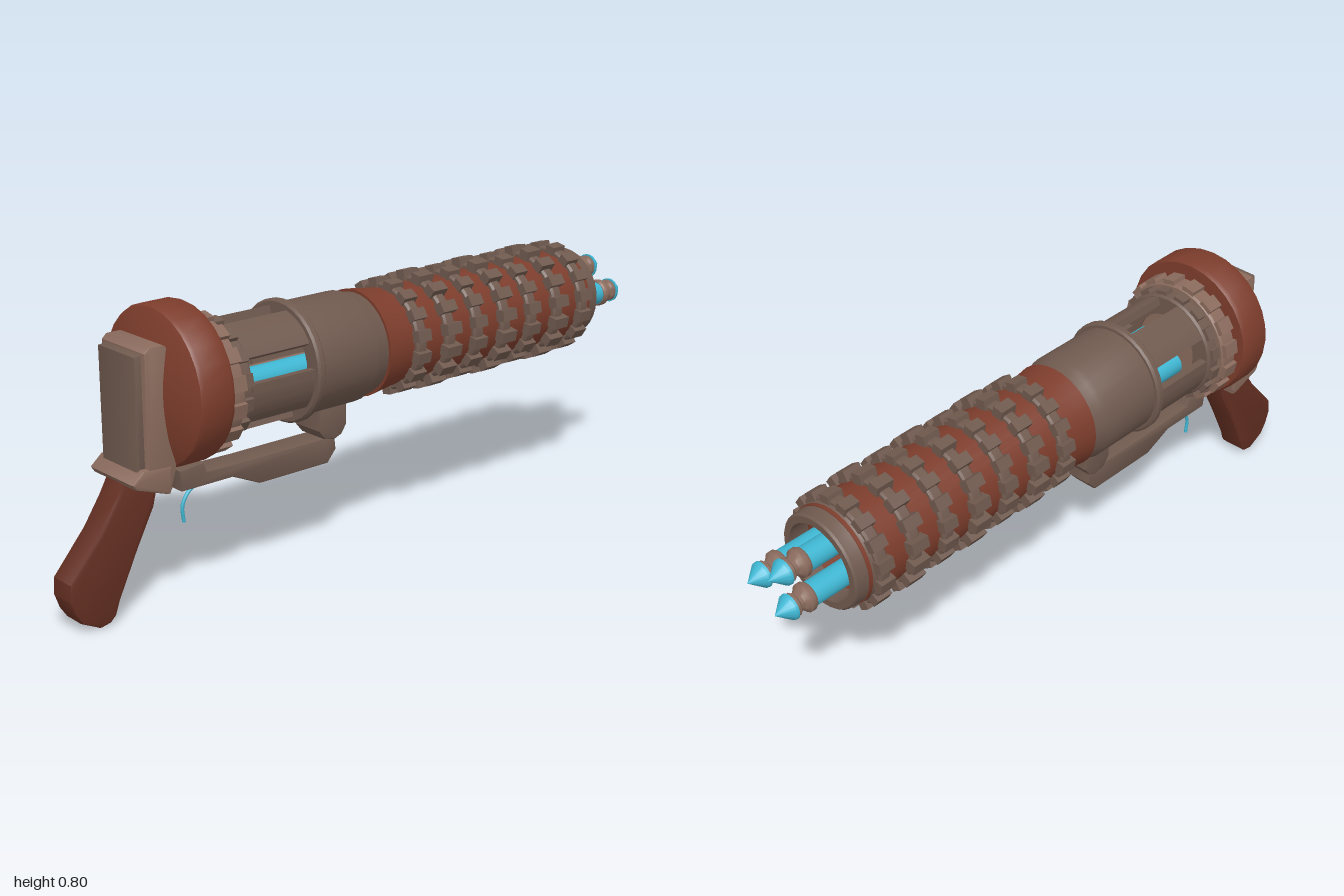
import * as THREE from 'three';
import { toCreasedNormals, mergeGeometries } from 'three/addons/utils/BufferGeometryUtils.js';

const paint = (color) => new THREE.MeshStandardMaterial({ color, side: THREE.DoubleSide });
const RED = paint(0x7d3d2c), GRIP = paint(0x642f22), LIGHT = paint(0x8a6b5d);
const MID = paint(0x705a4f), BLUE = paint(0x3fb6d2);
const CY = 0.577; // height of the barrel axis

export function createModel() {
  const model = new THREE.Group();

  const add = (name, geometry, material, y = 0, z = 0, parent = model) => {
    const mesh = new THREE.Mesh(geometry, material);
    mesh.name = name;
    mesh.position.set(0, y, z);
    parent.add(mesh);
    return mesh;
  };

  // Turned part along x from [x, radius] pairs
  const turned = (profile, segments = 32) => {
    const g = new THREE.LatheGeometry(profile.map(([x, r]) => new THREE.Vector2(r, x)), segments);
    return toCreasedNormals(g.rotateZ(-Math.PI / 2), 0.6);
  };
  const ring = (x0, x1, r, inner, b = 0.006) => turned([
    [x0, inner], [x0, r - b], [x0 + b, r], [x1 - b, r], [x1, r - b], [x1, inner], [x0, inner]]);

  // Side outline given thickness in z
  const slab = (points, half, bevel = 0.006) => {
    const shape = new THREE.Shape(points.map(([x, y]) => new THREE.Vector2(x, y)));
    const g = new THREE.ExtrudeGeometry(shape, {
      depth: 2 * (half - bevel), bevelEnabled: true, bevelSize: bevel, bevelOffset: -bevel,
      bevelThickness: bevel, bevelSegments: 2 });
    return toCreasedNormals(g.translate(0, 0, bevel - half), 0.5);
  };

  // Circle of raised blocks around the axis
  const studs = (x, r, count, length, width, height) => {
    const list = [];
    for (let i = 0; i < count; i++) {
      const g = new THREE.BoxGeometry(length, height, width);
      g.translate(x, r - height / 2, 0).rotateX((i + 0.5) / count * Math.PI * 2);
      list.push(g);
    }
    return mergeGeometries(list);
  };

  // Rear dome and large collar
  add('rearCollar', turned([[-0.745, 0], [-0.738, 0.08], [-0.722, 0.15], [-0.706, 0.195],
    [-0.7, 0.208], [-0.69, 0.213], [-0.61, 0.213], [-0.597, 0.207], [-0.595, 0.1], [-0.595, 0]], 28), RED, 0.593);

  // Stepped rings in front of the collar
  add('rearRing', ring(-0.597, -0.54, 0.18, 0.1), LIGHT, CY);
  add('rearRingStuds', studs(-0.568, 0.19, 16, 0.05, 0.04, 0.03), LIGHT, CY);
  add('middleRing', ring(-0.545, -0.5, 0.16, 0.1), MID, CY);
  add('middleRingStuds', studs(-0.522, 0.171, 16, 0.03, 0.035, 0.03), MID, CY);
  add('rearPlate', turned([[-0.56, 0], [-0.51, 0.13], [-0.505, 0.13], [-0.505, 0]]), LIGHT, CY);

  // Five curved bars with windows between them
  const bars = new THREE.Group();
  bars.name = 'windowBars';
  model.add(bars);
  const gap = THREE.MathUtils.degToRad(13), step = Math.PI * 2 / 5;
  for (let i = 0; i < 5; i++) {
    const a0 = Math.PI / 2 + i * step + gap, a1 = a0 + step - 2 * gap;
    const s = new THREE.Shape();
    s.absarc(0, 0, 0.152, a0, a1, false);
    s.absarc(0, 0, 0.128, a1, a0, true);
    s.closePath();
    const g = new THREE.ExtrudeGeometry(s, { depth: 0.23, bevelEnabled: false, curveSegments: 8 });
    g.rotateY(Math.PI / 2).translate(-0.51, 0, 0);
    add('windowBar', toCreasedNormals(g, 0.5), MID, CY, 0, bars);
  }

  // Middle body, front shroud and muzzle
  add('bodyLip', ring(-0.292, -0.266, 0.17, 0.12), MID, CY);
  add('body', turned([[-0.285, 0.12], [-0.285, 0.156], [-0.075, 0.156], [-0.06, 0.15],
    [-0.02, 0.143], [-0.02, 0.12], [-0.285, 0.12]]), MID, CY);
  add('shroud', turned([[-0.025, 0.115], [-0.025, 0.152], [0.06, 0.14], [0.79, 0.14],
    [0.79, 0.115], [-0.025, 0.115]]), RED, CY);
  add('muzzle', turned([[0.77, 0.112], [0.77, 0.143], [0.785, 0.138], [0.826, 0.136],
    [0.832, 0.131], [0.832, 0.112], [0.77, 0.112]]), MID, CY);

  // Studded bands along the shroud
  for (let i = 0; i < 7; i++) {
    const x = 0.093 + i * 0.1095, wide = i % 2;
    add('band' + (i + 1), ring(x - 0.019, x + 0.019, 0.154, 0.13), MID, CY);
    add('bandStuds' + (i + 1), studs(x, wide ? 0.17 : 0.165, 16, wide ? 0.055 : 0.048, 0.032, 0.03), MID, CY);
  }

  // Three rods with collars and pointed tips, around a thin core
  for (let i = 0; i < 3; i++) {
    const a = THREE.MathUtils.degToRad(-4 + i * 120);
    const rod = new THREE.Group();
    rod.name = 'rod' + (i + 1);
    rod.position.set(0, 0.578 + 0.062 * Math.sin(a), 0.01 + 0.062 * Math.cos(a));
    model.add(rod);
    add('rodShaft', turned([[-0.51, 0], [-0.51, 0.034], [0.9, 0.034], [0.9, 0]], 20), BLUE, 0, 0, rod);
    add('rodCollar', turned([[0.892, 0], [0.892, 0.036], [0.898, 0.04], [0.91, 0.04], [0.915, 0.034],
      [0.925, 0.026], [0.935, 0.026], [0.94, 0.032], [0.952, 0.032], [0.952, 0]], 20), LIGHT, 0, 0, rod);
    add('rodTip', turned([[0.95, 0], [0.95, 0.036], [0.958, 0.035], [1, 0]], 20), BLUE, 0, 0, rod);
  }
  add('core', turned([[-0.51, 0], [-0.51, 0.012], [0.87, 0.012], [0.875, 0.008], [0.875, 0]], 12), LIGHT, 0.578, 0.01);

  // Rear housing with a raised back panel
  add('housing', slab([[-0.785, 0.36], [-0.72, 0.335], [-0.7, 0.4], [-0.7, 0.71],
    [-0.73, 0.728], [-0.77, 0.728], [-0.785, 0.715]], 0.095), LIGHT);
  add('housingFoot', slab([[-0.835, 0.385], [-0.825, 0.37], [-0.725, 0.335], [-0.715, 0.35],
    [-0.715, 0.41], [-0.8, 0.415]], 0.097), LIGHT);
  add('backPanel', slab([[-0.808, 0.4], [-0.77, 0.4], [-0.77, 0.712], [-0.808, 0.708]], 0.078), MID);

  // Grip
  add('grip', slab([[-0.825, 0.375], [-0.72, 0.35], [-0.735, 0.29], [-0.79, 0.185], [-0.85, 0.06],
    [-0.862, 0.025], [-0.88, 0.008], [-0.91, 0.002], [-0.965, 0.03], [-0.985, 0.06], [-0.999, 0.1],
    [-0.995, 0.145], [-0.9, 0.255], [-0.85, 0.33]], 0.042, 0.01), GRIP);

  // Lower guard rail and its mount
  add('guardRail', slab([[-0.655, 0.365], [-0.575, 0.37], [-0.565, 0.343], [-0.43, 0.34], [-0.17, 0.34],
    [-0.13, 0.345], [-0.125, 0.3], [-0.155, 0.265], [-0.39, 0.265], [-0.48, 0.305], [-0.645, 0.305]], 0.04), MID);
  add('guardMount', slab([[-0.198, 0.44], [-0.098, 0.44], [-0.098, 0.37], [-0.115, 0.345],
    [-0.14, 0.335], [-0.175, 0.342], [-0.198, 0.37]], 0.053), MID);

  // Curved trigger
  const triggerPath = new THREE.CatmullRomCurve3([[-0.5, 0.31], [-0.55, 0.304], [-0.595, 0.288],
    [-0.62, 0.25], [-0.617, 0.203]].map(([x, y]) => new THREE.Vector3(x, y, 0)));
  add('trigger', new THREE.TubeGeometry(triggerPath, 16, 0.005, 8), BLUE);

  return model;
}
